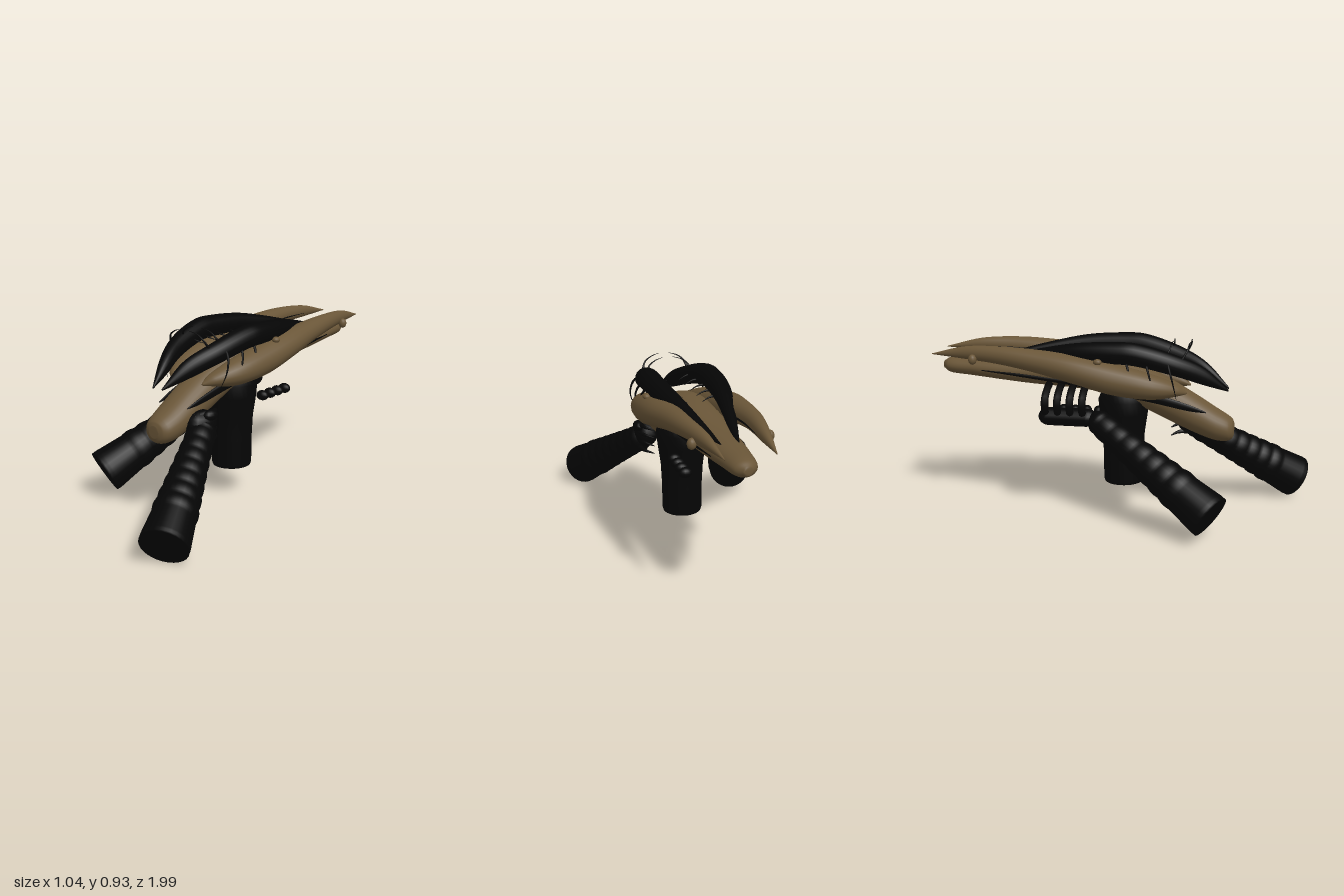
import * as THREE from 'three';

const brown = new THREE.MeshStandardMaterial({ name: 'brown shell', color: 0x6a5638 });
const black = new THREE.MeshStandardMaterial({ name: 'black hide', color: 0x050505 });
const CX = 0.035; // middle line of the body
const V = (x, y, z) => new THREE.Vector3(x, y, z);

// Smooth elliptical loft along z; rows are [z, offset, y, halfWidth, halfHeight]
function loft(rows, side = 1, steps = 40, n = 20) {
  const centres = new THREE.CatmullRomCurve3(rows.map(r => V(CX + side * r[1], r[2], r[0])));
  const radii = new THREE.CatmullRomCurve3(rows.map(r => V(r[3], r[4], r[0])));
  const pos = [], idx = [];
  for (let i = 0; i <= steps; i++) {
    const c = centres.getPoint(i / steps), r = radii.getPoint(i / steps);
    for (let a = 0; a < n; a++) {
      const t = a / n * Math.PI * 2;
      pos.push(c.x + r.x * Math.cos(t), c.y + r.y * Math.sin(t), c.z);
    }
  }
  for (let i = 0; i < steps; i++) {
    for (let a = 0; a < n; a++) {
      const b = (a + 1) % n, p = i * n, q = p + n;
      idx.push(p + a, q + a, p + b, p + b, q + a, q + b);
    }
  }
  const last = steps * n;
  for (let a = 1; a < n - 1; a++) idx.push(0, a, a + 1, last, last + a + 1, last + a);
  const g = new THREE.BufferGeometry();
  g.setAttribute('position', new THREE.Float32BufferAttribute(pos, 3));
  g.setIndex(idx);
  g.computeVertexNormals();
  return g;
}

export function createModel() {
  const model = new THREE.Group();
  const add = (name, geo, mat) => {
    const m = new THREE.Mesh(geo, mat);
    m.name = name;
    model.add(m);
    return m;
  };
  // Black tube that narrows to a point when taper is true
  const spine = (name, pts, r, taper = true) => {
    const curve = new THREE.CatmullRomCurve3(pts), seg = 14, rad = 8;
    const g = new THREE.TubeGeometry(curve, seg, r, rad);
    if (taper) {
      const p = g.attributes.position, v = V(0, 0, 0);
      for (let i = 0; i < p.count; i++) {
        const t = Math.floor(i / (rad + 1)) / seg;
        const c = curve.getPointAt(t);
        v.fromBufferAttribute(p, i).sub(c).multiplyScalar(1 - 0.9 * t).add(c);
        p.setXYZ(i, v.x, v.y, v.z);
      }
    }
    return add(name, g, black);
  };
  const ball = (name, x, y, z, sx, sy, sz, mat) => {
    const m = add(name, new THREE.SphereGeometry(1, 14, 10), mat);
    m.position.set(x, y, z);
    m.scale.set(sx, sy, sz);
  };

  // Long body with blunt head in front
  add('body', loft([
    [0.60, 0, 0.462, 0.03, 0.03], [0.592, 0, 0.462, 0.055, 0.05], [0.57, 0, 0.465, 0.076, 0.066],
    [0.51, 0, 0.483, 0.092, 0.084], [0.4, 0, 0.535, 0.10, 0.10], [0.2, 0, 0.635, 0.11, 0.11],
    [0, 0, 0.715, 0.13, 0.10], [-0.2, 0, 0.735, 0.13, 0.086], [-0.5, 0, 0.735, 0.11, 0.066],
    [-0.8, 0, 0.747, 0.078, 0.05], [-0.93, 0, 0.75, 0.055, 0.04], [-0.965, 0, 0.75, 0.02, 0.02]], 1, 66, 28), brown);

  for (const s of [1, -1]) {
    const x = off => CX + s * off;
    // Swept side blades
    add('sideBlade', loft([
      [0.36, 0.10, 0.665, 0.005, 0.005], [0.32, 0.12, 0.68, 0.036, 0.027], [0.2, 0.155, 0.70, 0.07, 0.062],
      [0, 0.17, 0.735, 0.087, 0.08], [-0.2, 0.175, 0.78, 0.085, 0.074], [-0.4, 0.17, 0.815, 0.064, 0.06],
      [-0.6, 0.16, 0.838, 0.045, 0.047], [-0.8, 0.135, 0.842, 0.028, 0.033],
      [-0.99, 0.115, 0.826, 0.002, 0.002]], s, 48, 20), brown);
    // Black arches over the back
    add('backArch', loft([
      [0.565, 0.03, 0.67, 0.004, 0.005], [0.45, 0.07, 0.745, 0.034, 0.044], [0.3, 0.125, 0.81, 0.05, 0.054],
      [0.1, 0.155, 0.864, 0.058, 0.058], [0, 0.157, 0.869, 0.057, 0.056], [-0.2, 0.142, 0.86, 0.049, 0.052],
      [-0.4, 0.105, 0.837, 0.035, 0.036], [-0.6, 0.065, 0.805, 0.02, 0.018],
      [-0.73, 0.042, 0.79, 0.003, 0.003]], s, 48, 20), black);
    // Dark streak along the flank
    add('flankStreak', loft([
      [0.46, 0.093, 0.565, 0.003, 0.003], [0.38, 0.1, 0.585, 0.006, 0.016], [0.2, 0.11, 0.63, 0.01, 0.024],
      [0, 0.117, 0.665, 0.014, 0.022], [-0.2, 0.114, 0.695, 0.012, 0.016], [-0.5, 0.105, 0.725, 0.009, 0.01],
      [-0.73, 0.085, 0.74, 0.003, 0.003]], s, 32, 12), black);
    // Tall hooks at the front and short barbs along the back
    for (const z of [0.36, 0.27]) {
      spine('hook', [V(x(0.13), 0.83, z - 0.03), V(x(0.105), 0.885, z), V(x(0.07), 0.91, z + 0.005),
        V(x(0.025), 0.922, z + 0.015)], 0.007);
    }
    for (const z of [0.2, 0.1, 0, -0.1, -0.2]) {
      spine('barb', [V(x(0.125), 0.84, z), V(x(0.085), 0.835, z + 0.005), V(x(0.035), 0.82, z - 0.015)], 0.008);
    }
    // Thin ribs joining arch and side blade
    for (const z of [0.29, 0.18, 0.08]) {
      spine('sideRib', [V(x(0.15), 0.85, z - 0.03), V(x(0.195), 0.80, z - 0.01), V(x(0.205), 0.73, z + 0.01),
        V(x(0.175), 0.645, z + 0.025)], 0.008);
    }
    // Fine spine along the inner edge of the blade
    spine('bladeSpine', [V(x(0.112), 0.815, -0.44), V(x(0.113), 0.83, -0.6), V(x(0.107), 0.835, -0.78)], 0.007);
    // Small knobs on the blades
    ball('knob', x(0.18), 0.815, -0.745, 0.022, 0.027, 0.022, brown);
    ball('knob', x(0.123), 0.815, -0.44, 0.02, 0.02, 0.02, brown);
    ball('knob', x(0.21), 0.83, -0.08, 0.02, 0.016, 0.022, brown);
  }

  // Ribbed trunk-like limbs that flare to a flat end
  const limb = (name, a, b, r0, r1, rings) => {
    const d = b.clone().sub(a), len = d.length(), pts = [new THREE.Vector2(0, 0)];
    const steps = 72;
    for (let i = 0; i <= steps; i++) {
      const t = i / steps;
      const bump = t < 0.78 ? 0.07 * Math.abs(Math.sin(t / 0.78 * rings * Math.PI)) : 0;
      const round = Math.min(1, Math.sqrt(t / 0.08 + 0.1));
      const edge = t > 0.985 ? 0.98 : 1;
      pts.push(new THREE.Vector2((r0 + (r1 - r0) * t ** 1.3) * (1 + bump) * round * edge, t * len));
    }
    pts.push(new THREE.Vector2(0, len));
    const m = add(name, new THREE.LatheGeometry(pts, 28), black);
    m.position.copy(a);
    m.quaternion.setFromUnitVectors(V(0, 1, 0), d.normalize());
  };
  limb('leftLimb', V(0.14, 0.47, 0.35), V(0.41, 0.1, 0.93), 0.066, 0.118, 8);
  limb('rightLimb', V(-0.115, 0.54, -0.13), V(-0.41, 0.135, 0.52), 0.06, 0.118, 8);

  // Upright middle limb, widening towards the shoulder
  const column = [[0, 0.15], [0.1, 0.15], [0.105, 0.165], [0.106, 0.3], [0.112, 0.42], [0.128, 0.53],
    [0.134, 0.6], [0.115, 0.645], [0.065, 0.67], [0, 0.675]].map(p => new THREE.Vector2(...p));
  add('middleLimb', new THREE.LatheGeometry(column, 32), black).position.set(CX, 0, 0.018);

  // Hand of the right limb: palm, hooked fingers and far fingertips
  const palm = add('palm', new THREE.CapsuleGeometry(0.055, 0.2, 6, 16), black);
  palm.rotation.x = Math.PI / 2;
  palm.scale.z = 0.85;
  palm.position.set(-0.115, 0.525, -0.25);
  for (let i = 0; i < 4; i++) {
    const z = -0.165 - i * 0.065;
    spine('finger', [V(-0.11, 0.53, z), V(-0.158, 0.56, z), V(-0.162, 0.62, z), V(-0.11, 0.665, z),
      V(-0.04, 0.69, z)], 0.02, false);
    ball('fingertip', 0.12, 0.505, z + 0.03, 0.035, 0.027, 0.027, black);
  }

  // Hand of the left limb: blunt wrist, thumb and claws hooking back
  ball('wrist', 0.14, 0.47, 0.38, 0.068, 0.075, 0.09, black);
  ball('thumb', 0.185, 0.522, 0.36, 0.03, 0.028, 0.045, black);
  for (let i = 0; i < 4; i++) {
    const y = 0.53 - i * 0.045;
    spine('claw', [V(0.14, y - 0.02, 0.42), V(0.18, y, 0.36), V(0.165, y, 0.3), V(0.12, y - 0.01, 0.26)], 0.026);
  }
  return model;
}
